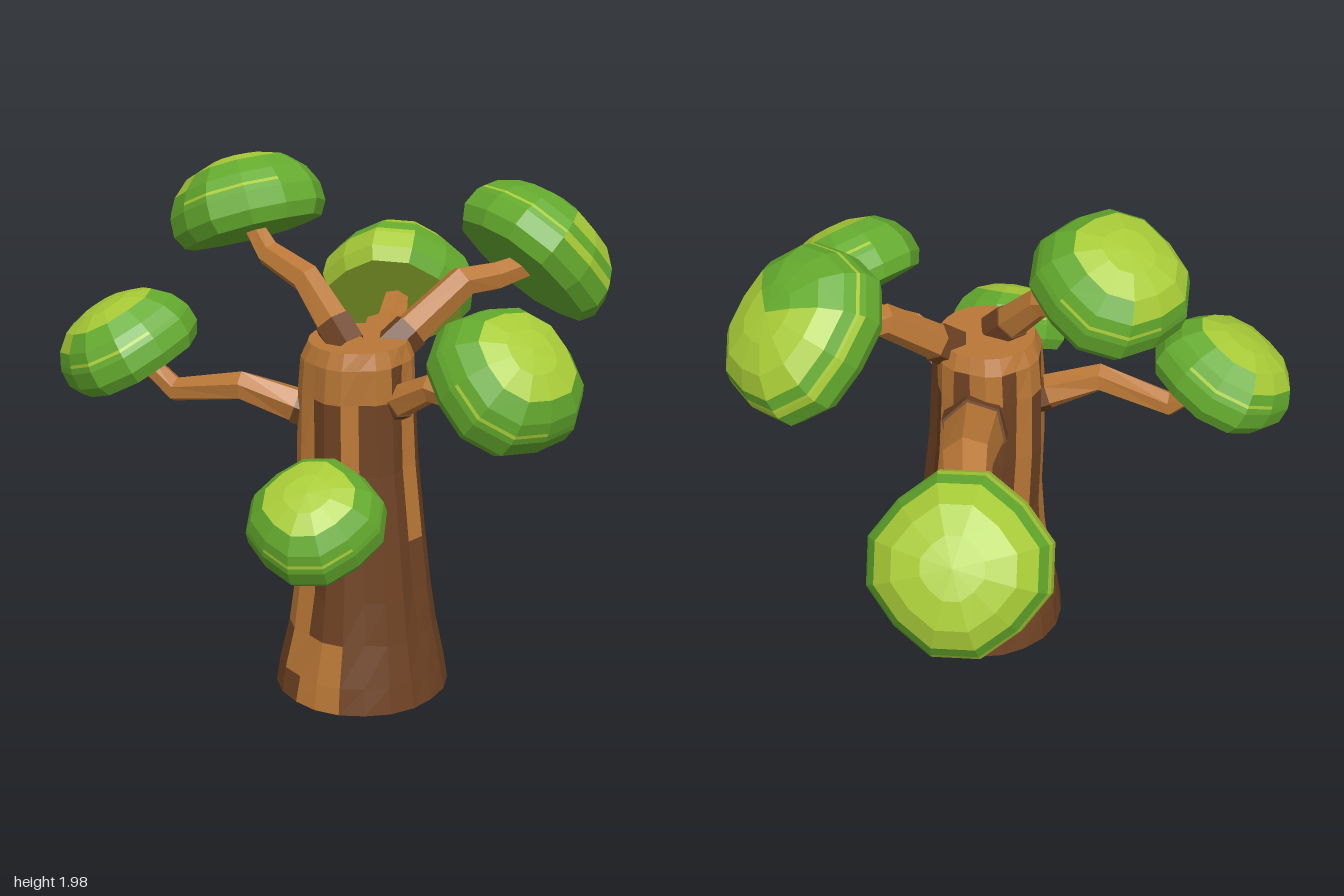
import * as THREE from 'three';

const material = (name, color, side = THREE.FrontSide) => {
  const m = new THREE.MeshStandardMaterial({ color, side, flatShading: true });
  m.name = name;
  return m;
};

const UP = new THREE.Vector3(0, 1, 0);
const vec = (p) => new THREE.Vector3(...p);

// Ring of points around the y axis; shape(j) scales the radius of each corner
function ring(sides, radius, y, shape = () => 1, phase = 0) {
  return Array.from({ length: sides }, (_, j) => {
    const a = (j / sides) * Math.PI * 2 + phase;
    const r = radius * shape(j, a);
    return new THREE.Vector3(Math.sin(a) * r, y, Math.cos(a) * r);
  });
}

// Skin between rings; pick(i, j) gives the material index of each panel
function loft(name, rings, materials, pick) {
  const buckets = materials.map(() => []);
  const n = rings[0].length;
  for (let i = 0; i < rings.length - 1; i++) {
    for (let j = 0; j < n; j++) {
      const k = (j + 1) % n;
      const [a, b, c, d] = [rings[i][j], rings[i][k], rings[i + 1][k], rings[i + 1][j]];
      for (const p of [a, b, c, a, c, d]) buckets[pick(i, j)].push(p.x, p.y, p.z);
    }
  }
  const geo = new THREE.BufferGeometry();
  geo.setAttribute('position', new THREE.Float32BufferAttribute(buckets.flat(), 3));
  let start = 0;
  buckets.forEach((b, m) => {
    geo.addGroup(start, b.length / 3, m);
    start += b.length / 3;
  });
  geo.computeVertexNormals();
  const mesh = new THREE.Mesh(geo, materials);
  mesh.name = name;
  return mesh;
}

// Trunk with seven ridges, a flared open foot and a closed top
function makeTrunk(barks) {
  const levels = [ // y, radius, centre x, groove depth
    [0, 0.325, 0.125, 0], [0.1, 0.31, 0.125, 0.02], [0.26, 0.275, 0.13, 0.05], [0.42, 0.253, 0.13, 0.08],
    [0.62, 0.235, 0.125, 0.08], [0.9, 0.223, 0.1, 0.08], [1.17, 0.213, 0.095, 0.06],
    [1.3, 0.205, 0.1, 0.03], [1.36, 0.18, 0.105, 0], [1.36, 0.001, 0.105, 0],
  ];
  const rings = levels.map(([y, r, x, groove]) =>
    ring(21, r, y, (j) => (j % 3 === 2 ? 1 - groove : 1.01), -0.52)
      .map((p) => p.add(new THREE.Vector3(x, 0, 0.13))));
  // Light streaks: column -> [first band, last band]
  const streaks = { 0: [2, 6], 1: [1, 6], 2: [0, 1], 3: [0, 1], 4: [5, 6], 8: [4, 5],
    12: [3, 6], 17: [4, 6], 20: [2, 6] };
  return loft('trunk', rings, barks, (i, j) => {
    if (i >= 7) return 1;
    if (i === 6 && j % 3 !== 1) return 1;
    const s = streaks[j];
    return s && i >= s[0] && i <= s[1] ? 1 : 0;
  });
}

// Tapered six-sided branch along a bent path, with a dark collar at its root
function makeBranch(name, path, r0, r1, barks) {
  const pts = path.map(vec);
  const collarEnd = pts[0].clone().lerp(pts[1], 0.36);
  const stations = [
    [pts[0], r0 * 1.1], [collarEnd, r0 * 1.1], [collarEnd, r0],
    ...pts.slice(1).map((p, i) => [p, THREE.MathUtils.lerp(r0, r1, (i + 1) / (pts.length - 1))]),
  ];
  const last = stations.length - 1;
  stations.push([stations[last][0], 0.001]);
  const rings = stations.map(([p, r], i) => {
    const prev = stations[Math.max(0, Math.min(i, last) - 1)][0];
    const next = stations[Math.min(last, i + 1)][0];
    const q = new THREE.Quaternion().setFromUnitVectors(UP, next.clone().sub(prev).normalize());
    return ring(6, r, 0).map((v) => v.applyQuaternion(q).add(p));
  });
  return loft(name, rings, barks, (i) => (i < 2 ? 0 : 1));
}

// Tilted dome of leaves: underside, bevelled rim, thin streak and crown
const DOME = [[0.001, 0], [0.9, 0], [1, 0.18], [0.99, 0.42], [0.96, 0.5], [0.94, 0.54],
  [0.87, 0.68], [0.66, 0.88], [0.34, 0.99], [0.001, 1.02]];

// Where the pale leaves grow, by band i and column j
const PALE = {
  crown: (i, j) => i >= 7 || (i === 4 && j % 6 < 3),
  wideCrown: (i, j) => i >= 7 || (i === 6 && j >= 8) || (i === 4 && j % 6 < 3),
  outerSides: (i, j) => (j >= 2 && j <= 9 ? i >= 3 && i !== 5 : i === 4),
  mostly: (i, j) => i === 0 || i >= 6 || (i !== 4 && i !== 5 && (j < 2 || j > 6)),
};

function makeCanopy(name, { base, axis, size, stretch = 1, pale = 'crown' }, leaves) {
  const q = new THREE.Quaternion().setFromUnitVectors(UP, vec(axis).normalize());
  const squarish = (j, a) => 1 - 0.045 * Math.cos(4 * a);
  const rings = DOME.map(([r, y]) =>
    ring(12, r * size, (y - 0.07) * size, squarish).map((p) => {
      p.z *= stretch;
      return p.applyQuaternion(q).add(vec(base));
    }));
  return loft(name, rings, leaves, (i, j) => (PALE[pale](i, j) ? 1 : 0));
}

export function createModel() {
  const barks = [
    material('dark bark', 0x6e4223, THREE.DoubleSide),
    material('light bark', 0xb97736, THREE.DoubleSide),
  ];
  const leaves = [material('leaf green', 0x65ab2e), material('pale leaf', 0xa8cb37)];
  const tree = new THREE.Group();
  tree.name = 'tree';
  tree.add(makeTrunk(barks));

  const limbs = [
    { name: 'top', r: [0.068, 0.04], base: [-0.365, 1.695, 0.272], axis: [-0.42, 0.9, 0], size: 0.282, pale: 'wideCrown',
      path: [[0.11, 1.34, 0.18], [-0.09, 1.555, 0.22], [-0.26, 1.62, 0.27], [-0.34, 1.7, 0.28]] },
    { name: 'back', r: [0.068, 0.05], base: [0.24, 1.545, -0.54], axis: [0.05, 0.7, -0.72], size: 0.29,
      stretch: 1.15, pale: 'outerSides',
      path: [[0.14, 1.28, 0.05], [0.21, 1.53, -0.27], [0.23, 1.53, -0.4], [0.24, 1.55, -0.53]] },
    { name: 'left', r: [0.063, 0.036], base: [0.72, 1.305, -0.01], axis: [0.67, 0.74, -0.03], size: 0.277,
      path: [[0.22, 1.12, 0.1], [0.44, 1.25, 0.05], [0.64, 1.23, 0], [0.74, 1.32, -0.01]] },
    { name: 'lowFront', r: [0.053, 0.034], base: [0.555, 0.887, 0.62], axis: [0.3, 0.85, 0.42], size: 0.235,
      path: [[0.2, 0.79, 0.25], [0.36, 0.865, 0.42], [0.49, 0.83, 0.54], [0.56, 0.9, 0.61]] },
    { name: 'frontRight', r: [0.067, 0.038], base: [-0.545, 1.21, 0.68], axis: [-0.27, 0.9, 0.37], size: 0.265, pale: 'wideCrown',
      path: [[0.02, 1.06, 0.22], [-0.18, 1.165, 0.45], [-0.42, 1.11, 0.59], [-0.53, 1.23, 0.67]] },
    { name: 'backRight', r: [0.115, 0.05], base: [-0.685, 1.175, -0.635], axis: [-0.53, 0.58, -0.58], size: 0.312,
      pale: 'mostly',
      path: [[0.03, 1.06, 0.02], [-0.28, 1.2, -0.28], [-0.52, 1.1, -0.48], [-0.67, 1.2, -0.63]] },
  ];
  for (const limb of limbs) {
    tree.add(makeBranch(limb.name + 'Branch', limb.path, ...limb.r, barks));
    tree.add(makeCanopy(limb.name + 'Canopy', limb, leaves));
  }
  return tree;
}
